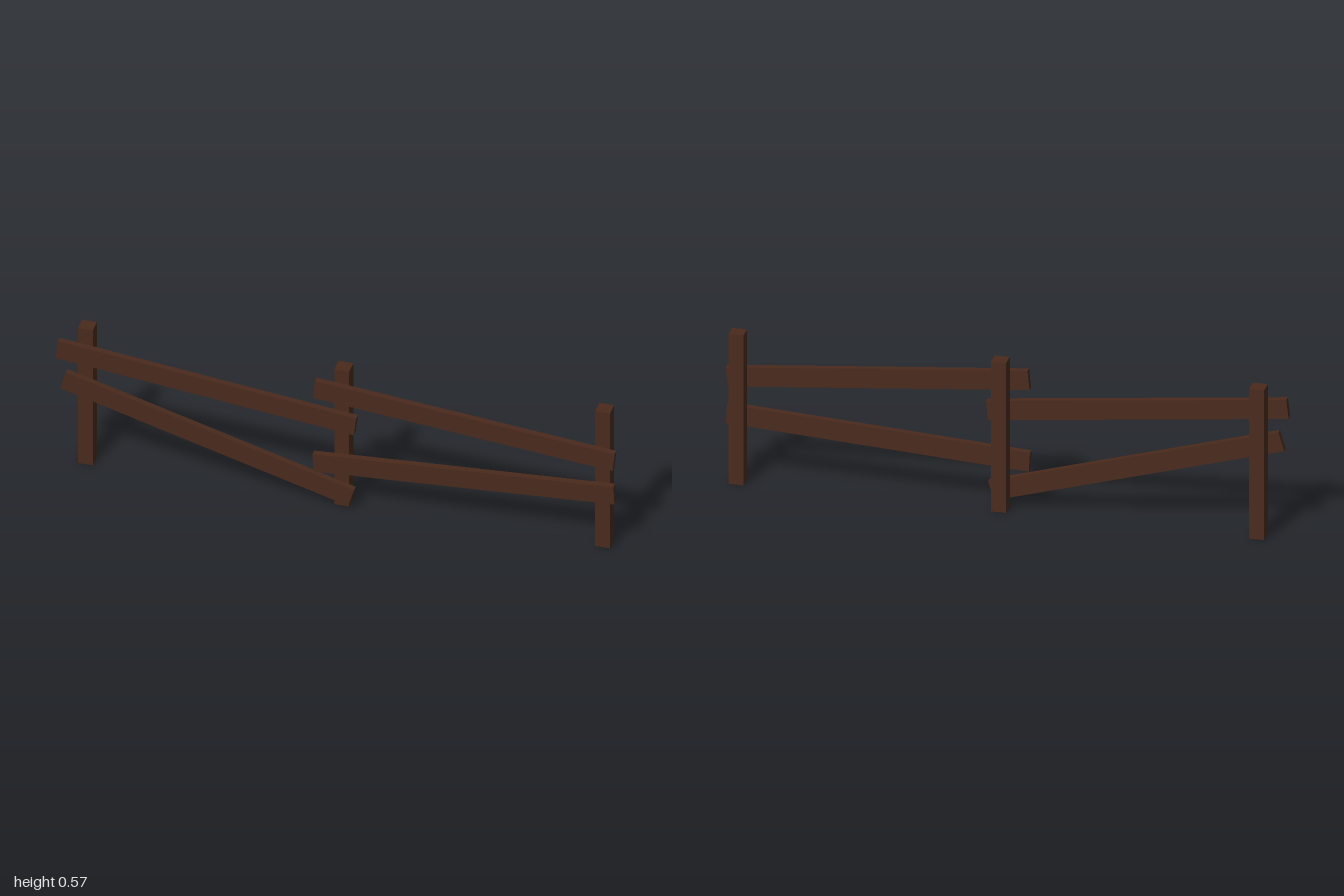
import * as THREE from 'three';

export function createModel() {
  const fence = new THREE.Group();
  fence.name = 'fence';
  const wood = new THREE.MeshStandardMaterial({ color: 0x4a2a1c, flatShading: true });

  // Square upright posts
  const postHeight = 0.567, postWidth = 0.053;
  const postGeometry = new THREE.BoxGeometry(postWidth, postHeight, postWidth);
  [['rightPost', -0.9], ['middlePost', 0.016], ['leftPost', 0.948]].forEach(([name, x]) => {
    const post = new THREE.Mesh(postGeometry, wood);
    post.name = name;
    post.position.set(x, postHeight / 2, -0.0115);
    fence.add(post);
  });

  // Sloping plank from one end centre to the other, nailed to the post fronts
  const addRail = (name, x1, y1, x2, y2) => {
    const length = Math.hypot(x2 - x1, y2 - y1);
    const rail = new THREE.Mesh(new THREE.BoxGeometry(length, 0.072, 0.023), wood);
    rail.name = name;
    rail.position.set((x1 + x2) / 2, (y1 + y2) / 2, 0.0265);
    rail.rotation.z = Math.atan2(y2 - y1, x2 - x1);
    fence.add(rail);
  };
  addRail('rightUpperRail', -0.996, 0.479, 0.07, 0.355);
  addRail('rightLowerRail', -0.974, 0.354, 0.056, 0.053);
  addRail('leftUpperRail', -0.077, 0.485, 0.994, 0.379);
  addRail('leftLowerRail', -0.08, 0.176, 0.995, 0.24);

  return fence;
}
